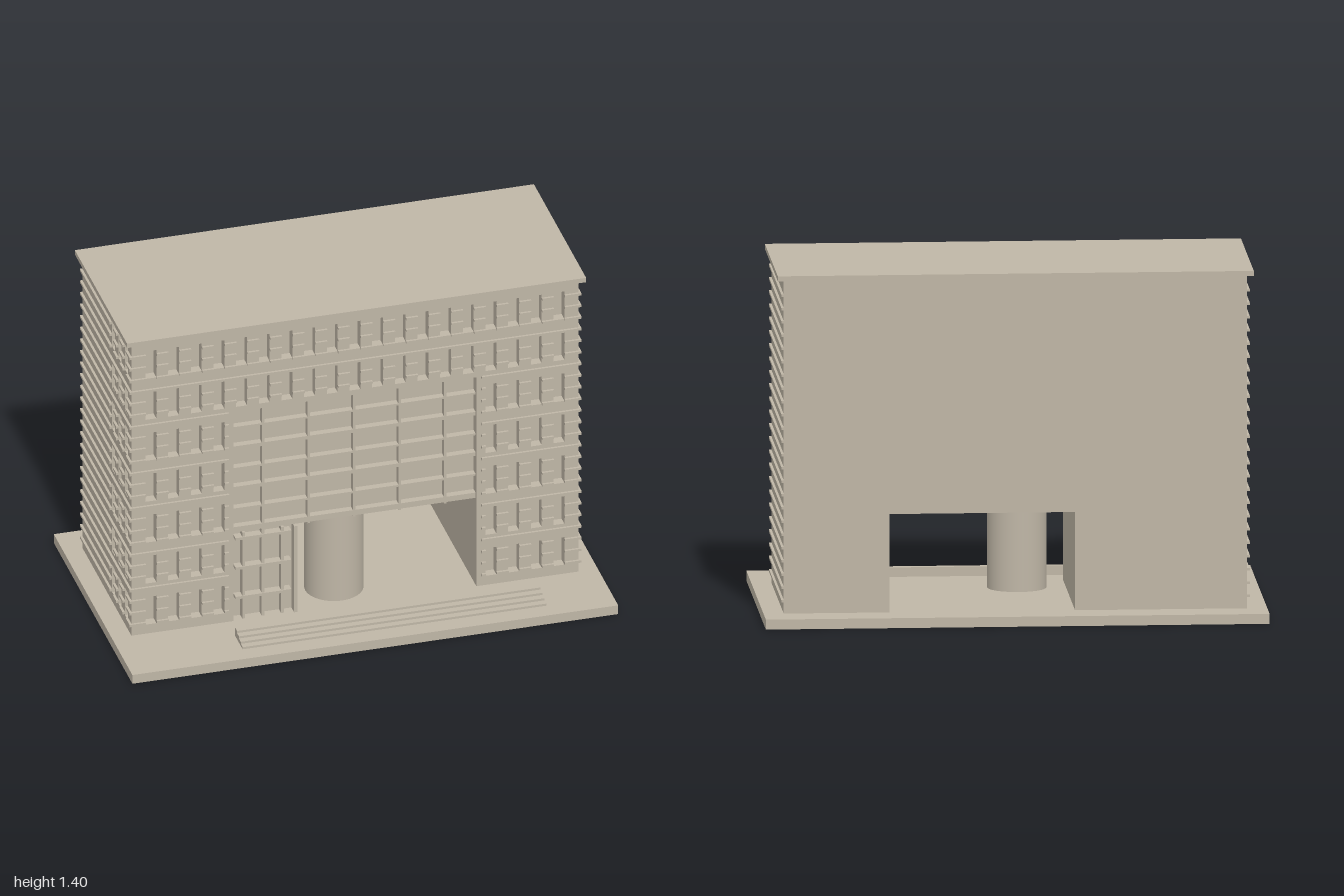
import * as THREE from 'three';

const FLOORS = 7, FLOOR_H = 0.1882, ROW0 = 0.1445; // window row centres
const WIN_W = 0.045, WIN_H = 0.126, PITCH = 0.0933;
const BANDS = 24, BAND0 = 0.0906, BAND_STEP = 0.05337, BAND_T = 0.01;
const DEPTH = 0.04; // window and curtain wall recess
const BACK = -0.435, FRONT = 0.275, HALF = 0.92, BASE = 0.04, TOP = 1.38;
const rowY = r => ROW0 + FLOOR_H * r;

export function createModel() {
  const group = new THREE.Group();
  const stone = new THREE.MeshStandardMaterial({ color: 0xbfb6a6 });
  stone.name = 'stone';

  const add = (name, geo, parent = group) => {
    const m = new THREE.Mesh(geo, stone);
    m.name = name;
    parent.add(m);
    return m;
  };
  const box = (name, x0, x1, y0, y1, z0, z1, parent) => {
    const m = add(name, new THREE.BoxGeometry(x1 - x0, y1 - y0, z1 - z0), parent);
    m.position.set((x0 + x1) / 2, (y0 + y1) / 2, (z0 + z1) / 2);
    return m;
  };
  const section = name => {
    const g = new THREE.Group();
    g.name = name;
    group.add(g);
    return g;
  };
  const polygon = pts => new THREE.Shape(pts.map(p => new THREE.Vector2(...p)));
  const rectHole = (u, v) => {
    const w = WIN_W / 2, h = WIN_H / 2;
    return new THREE.Path([[u - w, v - h], [u - w, v + h], [u + w, v + h], [u + w, v - h]]
      .map(p => new THREE.Vector2(...p)));
  };
  const extrude = (shape, depth) => new THREE.ExtrudeGeometry(shape, { depth, bevelEnabled: false });

  // Plinth, roof slab and entrance steps
  box('plinth', -1, 1, 0, BASE, -0.572, 0.572);
  box('roofSlab', -0.945, 0.945, TOP, 1.4, -0.46, 0.3);
  const steps = section('steps');
  for (let i = 0; i < 4; i++)
    box('step', -0.525, 0.725, BASE + i * 0.0095, BASE + (i + 1) * 0.0095, 0.388, 0.497 - i * 0.027, steps);

  // Main block with the passage running through it
  const PL = -0.237, PR = 0.5, PT = 0.435;
  const core = polygon([[-HALF + DEPTH, BASE], [PL, BASE], [PL, PT], [PR, PT], [PR, BASE],
    [HALF, BASE], [HALF, TOP], [-HALF + DEPTH, TOP]]);
  add('mainBlock', extrude(core, FRONT - DEPTH - BACK)).position.z = BACK;

  // Window columns of the front and of the right side
  const frontCols = Array.from({ length: 19 }, (_, i) => (i - 9) * PITCH);
  const sideCols = [0.017, 0.11, 0.203];
  const isWing = x => Math.abs(x) > 0.52;

  // Front wall with window pockets and the tall central recess
  const front = polygon([[-HALF, BASE], [-0.5, BASE], [-0.5, 1], [0.5, 1], [0.5, BASE],
    [HALF, BASE], [HALF, TOP], [-HALF, TOP]]);
  for (let r = 0; r < FLOORS; r++)
    for (const x of frontCols)
      if (r >= 5 || isWing(x)) front.holes.push(rectHole(x, rowY(r)));
  add('frontWall', extrude(front, DEPTH)).position.z = FRONT - DEPTH;

  // Right side wall with window pockets near the front
  const zf = FRONT - DEPTH;
  const side = polygon([[BACK, BASE], [zf, BASE], [zf, TOP], [BACK, TOP]]);
  for (let r = 0; r < FLOORS; r++)
    for (const z of sideCols) side.holes.push(rectHole(z, rowY(r)));
  const sideWall = add('rightSideWall', extrude(side, DEPTH));
  sideWall.rotation.y = -Math.PI / 2; // shape x runs along z, depth runs towards -x
  sideWall.position.x = -HALF + DEPTH;

  // Thin horizontal bands, interrupted at the windows
  const bands = section('bands');
  const pieces = (a, b, cols) => {
    const out = [];
    for (const c of cols.filter(c => c > a && c < b)) {
      out.push([a, c - WIN_W / 2]);
      a = c + WIN_W / 2;
    }
    out.push([a, b]);
    return out;
  };
  const P = 0.01;
  for (let k = 0; k < BANDS; k++) {
    const y = BAND0 + BAND_STEP * k, y0 = y - BAND_T / 2, y1 = y + BAND_T / 2;
    const inRow = Array.from({ length: FLOORS }, (_, r) => rowY(r)).some(c => Math.abs(y - c) < WIN_H / 2);
    const spans = y > 1.01 ? [[-HALF - P, HALF + P]] : [[-HALF - P, -0.52], [0.52, HALF + P]];
    for (const [a, b] of spans)
      for (const [x0, x1] of pieces(a, b, inRow ? frontCols : []))
        box('frontBand', x0, x1, y0, y1, FRONT, FRONT + P, bands);
    box('leftBand', HALF, HALF + P, y0, y1, BACK - 0.005, FRONT, bands);
    for (const [z0, z1] of pieces(BACK - 0.005, FRONT, inRow ? sideCols : []))
      box('rightBand', -HALF - P, -HALF, y0, y1, z0, z1, bands);
  }

  // Curtain wall grid in the central recess
  const grid = section('curtainWall');
  const g0 = FRONT - DEPTH, g1 = 0.266;
  for (let i = -2; i <= 2; i++)
    box('mullion', i * 0.1875 - 0.005, i * 0.1875 + 0.005, PT, 1, g0, g1, grid);
  for (const [y, t] of [[0.92, 0.008], [0.827, 0.016], [0.732, 0.008], [0.641, 0.016], [0.546, 0.008], [0.452, 0.024]])
    box('transom', -0.5, 0.5, y - t / 2, y + t / 2, g0, g1 - 0.002, grid);

  // Entrance screen beside the passage
  const entrance = section('entranceScreen');
  for (const x of [-0.455, -0.375, -0.295])
    box('entranceMullion', x - 0.006, x + 0.006, BASE, PT, g0, g1, entrance);
  for (const y of [0.41, 0.275, 0.14])
    box('entranceTransom', -0.49, -0.26, y - 0.006, y + 0.006, g0, g1 + 0.004, entrance);
  box('entranceJamb', -0.25, PL, BASE, PT, g0, FRONT, entrance);

  // Round column standing in the passage
  add('column', new THREE.CylinderGeometry(0.118, 0.118, PT - BASE, 48))
    .position.set(-0.043, (PT + BASE) / 2, 0.12);

  return group;
}
